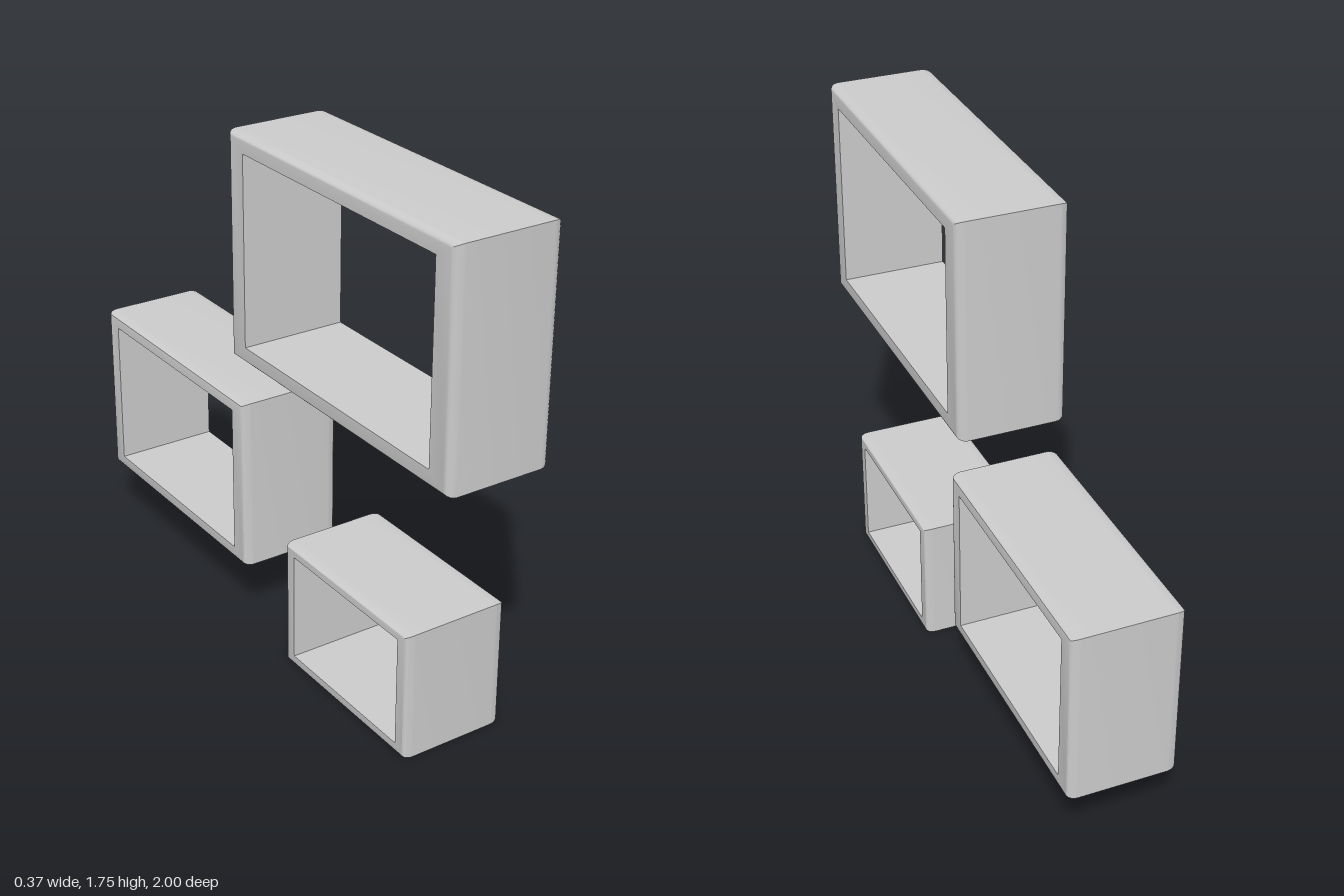
import * as THREE from 'three';
import { toCreasedNormals } from 'three/addons/utils/BufferGeometryUtils.js';

const HALF_DEPTH = 0.183;
const BEVEL_X = 0.033; // bevel along the shelf depth
const BEVEL_T = 0.28;  // bevel as a fraction of the wall thickness

// Closed wall section as [x, t]: t = 0 on the outside, t = 1 on the inside
function wallSection() {
  const side = [[HALF_DEPTH, 1]];
  const steps = 5;
  for (let i = 0; i <= steps; i++) {
    const a = (i / steps) * Math.PI / 2;
    side.push([
      HALF_DEPTH - BEVEL_X * (1 - Math.cos(a)),
      BEVEL_T * (1 - Math.sin(a)),
    ]);
  }
  const mirrored = side.map(([x, t]) => [-x, t]).reverse();
  return [...side, ...mirrored];
}

// Sweep the section round a rectangle with mitred corners
// outer and inner are [zMin, zMax, yMin, yMax]
function frameGeometry(outer, inner) {
  const section = wallSection();
  const corners = [[0, 3], [1, 3], [1, 2], [0, 2]];
  const positions = [];
  const point = (i, c) => {
    const [x, t] = section[i % section.length];
    const [zi, yi] = corners[c % 4];
    const mix = (k) => THREE.MathUtils.lerp(outer[k], inner[k], t);
    return [x, mix(yi), mix(zi)];
  };
  for (let c = 0; c < 4; c++) {
    for (let i = 0; i < section.length; i++) {
      const a = point(i, c), b = point(i + 1, c);
      const d = point(i, c + 1), e = point(i + 1, c + 1);
      positions.push(...a, ...b, ...d, ...b, ...e, ...d);
    }
  }
  const geometry = new THREE.BufferGeometry();
  geometry.setAttribute('position', new THREE.Float32BufferAttribute(positions, 3));
  return toCreasedNormals(geometry, Math.PI / 6);
}

export function createModel() {
  const group = new THREE.Group();
  group.name = 'wallShelves';
  const material = new THREE.MeshStandardMaterial({ color: 0xcccccc });

  // Three open box shelves of different sizes
  const shelves = [
    ['largeShelf', [-0.15, 1.0, 0.987, 1.745], [-0.06, 0.91, 1.045, 1.69]],
    ['mediumShelf', [-1.0, -0.08, 0.224, 0.83], [-0.93, -0.15, 0.268, 0.787]],
    ['smallShelf', [0.17, 0.835, 0, 0.443], [0.22, 0.785, 0.034, 0.411]],
  ];
  for (const [name, outer, inner] of shelves) {
    const shelf = new THREE.Mesh(frameGeometry(outer, inner), material);
    shelf.name = name;
    group.add(shelf);
  }
  return group;
}
